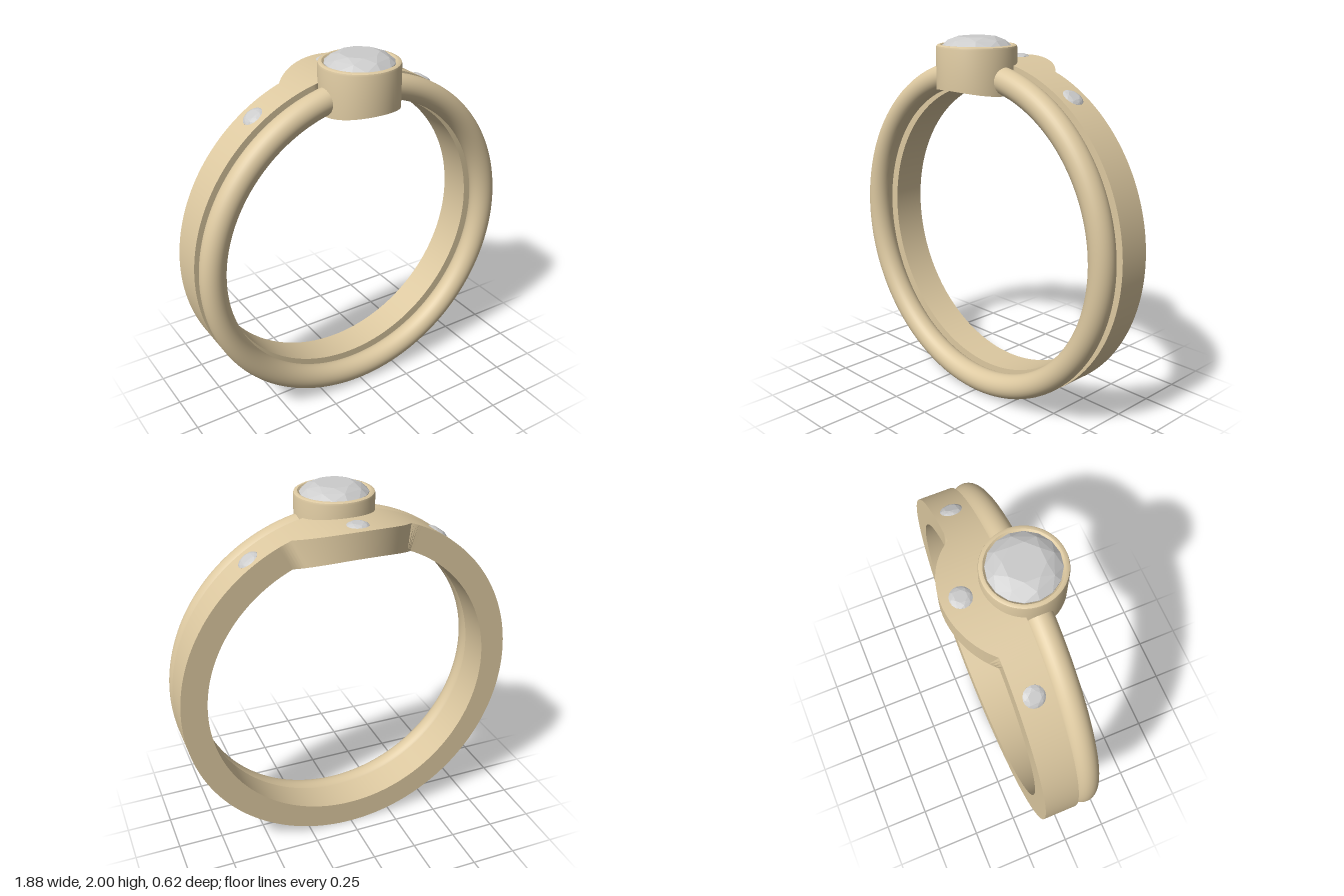
import * as THREE from 'three';
import { toCreasedNormals } from 'three/addons/utils/BufferGeometryUtils.js';
import { ConvexGeometry } from 'three/addons/geometries/ConvexGeometry.js';

const CY = 0.94;             // ring centre height
const R_OUT = 0.94, R_IN = 0.8;
const SET_Z = 0.097;         // axis of the bezel, also centre of the round band

// Brilliant-cut stone, girdle at y = 0
function gemGeometry(r, crown, depth) {
  const pts = [];
  const ring = (n, radius, y, offset) => {
    for (let i = 0; i < n; i++) {
      const a = ((i + offset) / n) * Math.PI * 2;
      pts.push(new THREE.Vector3(radius * Math.sin(a), y, radius * Math.cos(a)));
    }
  };
  ring(16, r, 0, 0);
  ring(16, r, -0.04 * r, 0);
  ring(8, r * 0.82, crown * 0.62, 0);
  ring(8, r * 0.56, crown, 0.5);
  pts.push(new THREE.Vector3(0, -depth, 0));
  return new ConvexGeometry(pts);
}

// Flat band whose top widens into a round lobe around the bezel axis
function flatBandGeometry() {
  const N = 400, zFront = 0.027, zBack = -0.157, lobeR = 0.407, recessR = 0.195;
  const arcZ = (radius, x) => SET_Z - Math.sqrt(Math.max(0, radius * radius - x * x));
  const pos = [], index = [];
  for (let i = 0; i <= N; i++) {
    const t = (i / N) * Math.PI * 2, top = Math.cos(t) > 0;
    const put = (r, front) => {
      const x = r * Math.sin(t);
      let z = front ? zFront : zBack;
      if (top) z = Math.min(z, arcZ(front ? recessR : lobeR, x));
      pos.push(x, CY + r * Math.cos(t), z);
    };
    put(R_OUT, true);
    put(R_OUT, false);
    put(R_IN, false);
    put(R_IN, true);
    if (i === N) break;
    for (let k = 0; k < 4; k++) {
      const a = i * 4 + k, b = i * 4 + ((k + 1) % 4);
      index.push(a, a + 4, b, b, a + 4, b + 4);
    }
  }
  const g = new THREE.BufferGeometry();
  g.setAttribute('position', new THREE.Float32BufferAttribute(pos, 3));
  g.setIndex(index);
  return toCreasedNormals(g, 0.4);
}

// Turned bezel cup, its underside shaped to the finger opening
function bezelGeometry() {
  const LOW = 1.6; // marks points that lie on the underside
  const profile = [
    [0.12, LOW], [0.15, LOW], [0.18, LOW], [0.21, LOW],
    [0.21, 1.945], [0.207, 1.955], [0.198, 1.96], [0.188, 1.96], [0.18, 1.952],
    [0.06, 1.835], [0.063, 1.82], [0.075, 1.79], [0.095, 1.76], [0.12, LOW],
  ].map(([x, y]) => new THREE.Vector2(x, y));
  const g = new THREE.LatheGeometry(profile, 96);
  const p = g.attributes.position;
  for (let i = 0; i < p.count; i++) {
    if (p.getY(i) < LOW + 0.01) {
      p.setY(i, CY + Math.sqrt(R_IN * R_IN - p.getX(i) ** 2));
    }
  }
  return toCreasedNormals(g, 0.6);
}

export function createModel() {
  const model = new THREE.Group();
  model.name = 'ring';
  const gold = new THREE.MeshStandardMaterial({ color: 0xdcc8a0 });
  const stone = new THREE.MeshStandardMaterial({ color: 0xdedede });
  const add = (name, geometry, material, parent = model) => {
    const mesh = new THREE.Mesh(geometry, material);
    mesh.name = name;
    parent.add(mesh);
    return mesh;
  };

  // Round band, open where the bezel sits
  const tube = 0.0685, radius = R_OUT - tube;
  const gap = Math.asin(0.19 / radius);
  const round = add('roundBand',
    new THREE.TorusGeometry(radius, tube, 32, 180, Math.PI * 2 - 2 * gap), gold);
  round.position.set(0, CY, SET_Z);
  round.rotation.z = Math.PI / 2 + gap;

  add('flatBand', flatBandGeometry(), gold);

  // Bezel and main stone
  add('bezel', bezelGeometry(), gold).position.z = SET_Z;
  add('mainStone', gemGeometry(0.18, 0.046, 0.165), stone).position.set(0, 1.954, SET_Z);

  // Small stones set in the flat band, each with a drilled opening below
  const side = Math.asin(0.52 / R_OUT);
  for (const [name, angle, z] of [
    ['backStone', 0, -0.214], ['leftStone', side, -0.068], ['rightStone', -side, -0.068],
  ]) {
    const setting = new THREE.Group();
    setting.name = name + 'Setting';
    setting.position.set(0, CY, z);
    setting.rotation.z = -angle;
    model.add(setting);
    add(name, gemGeometry(0.057, 0.013, 0.06), stone, setting).position.y = R_OUT - 0.001;
    const hole = add(name + 'Hole', new THREE.CircleGeometry(0.02, 24).rotateX(Math.PI / 2), gold, setting);
    hole.position.y = R_IN - 0.003;
  }
  return model;
}
